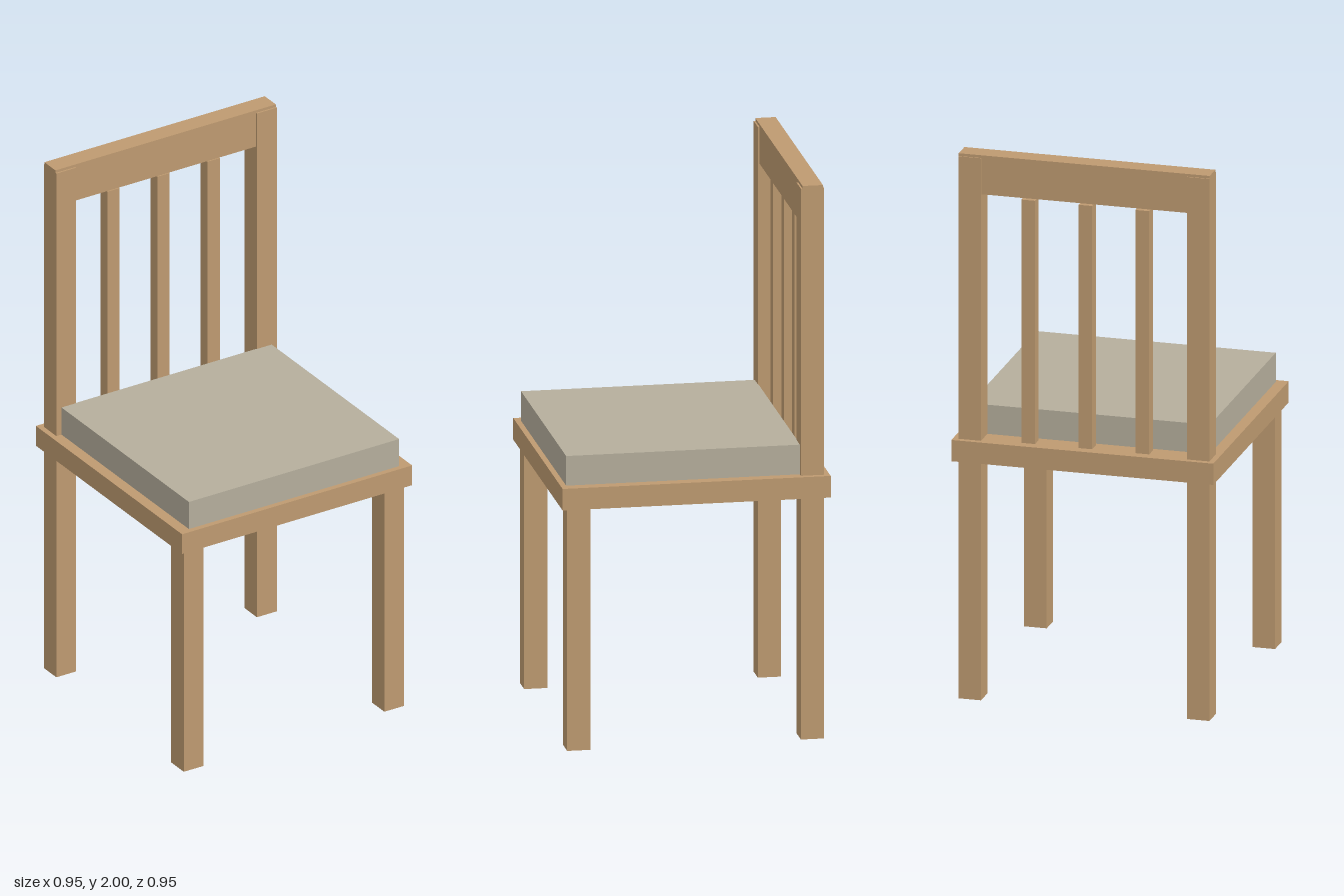
import * as THREE from 'three';

const wood = new THREE.MeshStandardMaterial({ color: 0xbe9a70 });
const fabric = new THREE.MeshStandardMaterial({ color: 0xb5ae9c });

// Box given by its minimum and maximum corners
function block(name, [x0, y0, z0], [x1, y1, z1], material = wood) {
  const mesh = new THREE.Mesh(new THREE.BoxGeometry(x1 - x0, y1 - y0, z1 - z0), material);
  mesh.position.set((x0 + x1) / 2, (y0 + y1) / 2, (z0 + z1) / 2);
  mesh.name = name;
  return mesh;
}

export function createModel() {
  const chair = new THREE.Group();
  chair.name = 'chair';

  const seatBottom = 0.875, seatTop = 0.953;
  const inner = 0.373, outer = 0.455;

  // Seat board and cushion
  chair.add(block('seat', [-0.475, seatBottom, -0.475], [0.475, seatTop, 0.475]));
  chair.add(block('cushion', [-0.434, seatTop, -0.375], [0.434, 1.06, 0.455], fabric));

  // Legs and back posts, mirrored left and right
  for (const [side, x0, x1] of [['left', inner, outer], ['right', -outer, -inner]]) {
    chair.add(block(side + 'FrontLeg', [x0, 0, inner], [x1, seatBottom, outer]));
    chair.add(block(side + 'BackLeg', [x0, 0, -outer], [x1, seatBottom, -inner]));
    chair.add(block(side + 'BackPost', [x0, seatTop, -outer], [x1, 1.99, -inner]));
  }

  // Top rail, spanning the posts and slightly thinner than them
  chair.add(block('topRail', [-outer, 1.857, -0.451], [outer, 2, -0.379]));

  // Back slats, ending just below the rail
  ['rightSlat', 'middleSlat', 'leftSlat'].forEach((name, i) => {
    const x = (i - 1) * 0.207;
    chair.add(block(name, [x - 0.025, seatTop, -0.438], [x + 0.025, 1.846, -0.392]));
  });

  return chair;
}
